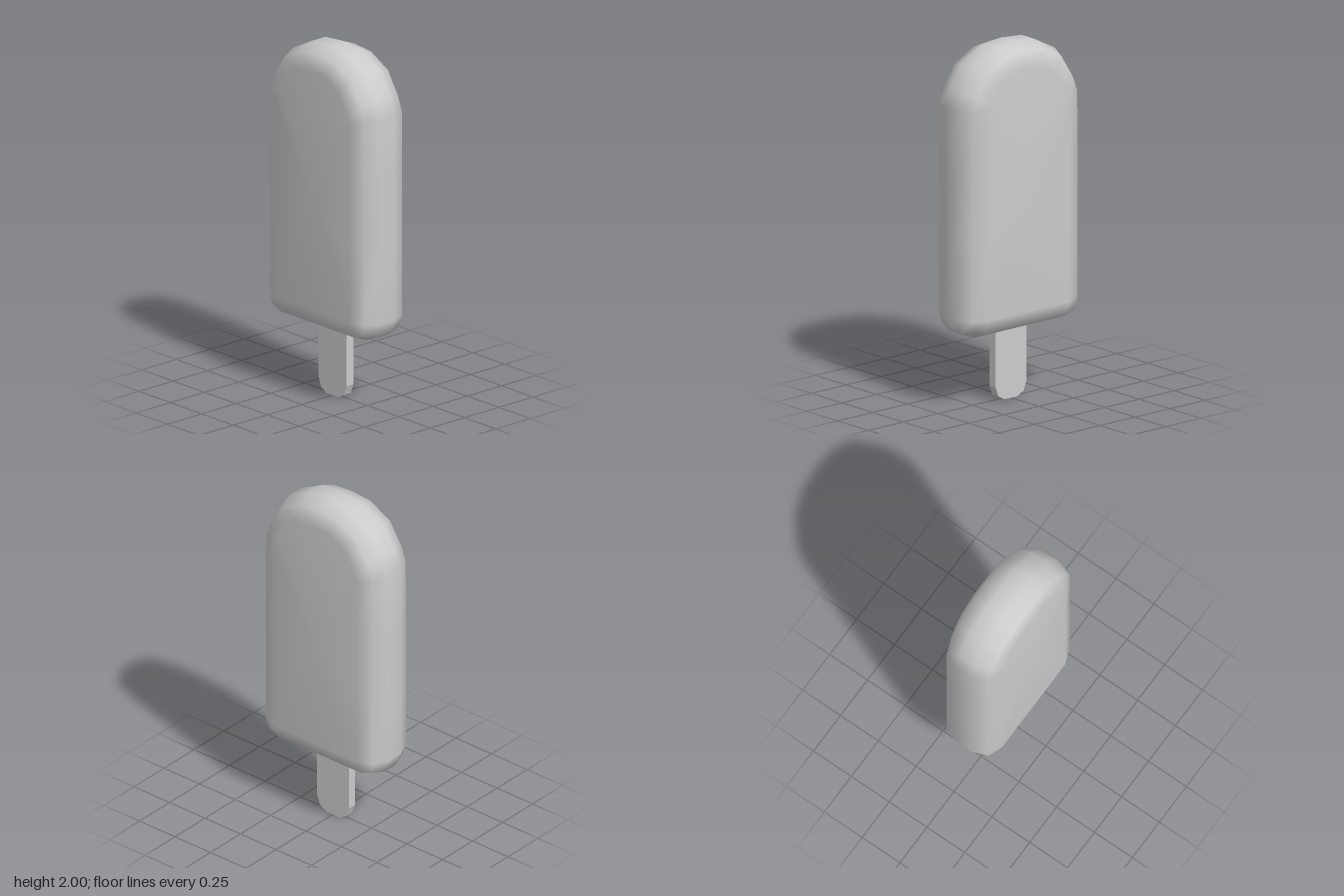
import * as THREE from 'three';
import { mergeVertices } from 'three/addons/utils/BufferGeometryUtils.js';

// Half outlines as [z, y], bottom to top: the outer rim and the flat face it rounds into
const rim = [[0.29, 0.395], [0.38, 0.43], [0.413, 0.515], [0.413, 0.95], [0.411, 1.35], [0.41, 1.68],
  [0.375, 1.775], [0.29, 1.91], [0.14, 1.988]];
const face = [[0.29, 0.515], [0.29, 0.515], [0.29, 0.515], [0.29, 0.95], [0.29, 1.35], [0.29, 1.65],
  [0.265, 1.715], [0.2, 1.815], [0.1, 1.868]];

// Mirror a half outline into a closed loop with a top centre point
const closeLoop = (half, top) => [...half, [0, top], ...half.map(([z, y]) => [-z, y]).reverse()];

function bodyGeometry() {
  const outer = closeLoop(rim, 2), inner = closeLoop(face, 1.876);
  const n = outer.length;
  // Each layer: x position and blend from face (0) to rim (1)
  const layers = [[-0.172, 0], [-0.137, 0.71], [-0.05, 1], [0.05, 1], [0.137, 0.71], [0.172, 0]];
  const pos = [], index = [];
  for (const [x, f] of layers) {
    for (let i = 0; i < n; i++) {
      pos.push(x,
        THREE.MathUtils.lerp(inner[i][1], outer[i][1], f),
        THREE.MathUtils.lerp(inner[i][0], outer[i][0], f));
    }
  }
  const last = layers.length - 1;
  const c0 = n * layers.length, c1 = c0 + 1;
  pos.push(-0.172, 1.15, 0, 0.172, 1.15, 0);
  for (let i = 0; i < n; i++) {
    const j = (i + 1) % n;
    for (let k = 0; k < last; k++) {
      const a = k * n + i, b = k * n + j, c = b + n, d = a + n;
      index.push(a, d, c, a, c, b);
    }
    index.push(c0, i, j, c1, last * n + j, last * n + i);
  }
  let g = new THREE.BufferGeometry();
  g.setAttribute('position', new THREE.Float32BufferAttribute(pos, 3));
  g.setIndex(index);
  g = mergeVertices(g, 1e-4);
  g.computeVertexNormals();
  return g;
}

function stickGeometry() {
  const half = [[0.045, 0], [0.09, 0.024], [0.112, 0.08], [0.112, 0.5]];
  const pts = [...half, ...half.map(([z, y]) => [-z, y]).reverse()];
  const shape = new THREE.Shape(pts.map(([z, y]) => new THREE.Vector2(z, y)));
  const g = new THREE.ExtrudeGeometry(shape, { depth: 0.05, bevelEnabled: false });
  g.translate(0, 0, -0.025);
  g.rotateY(Math.PI / 2);
  return g;
}

export function createModel() {
  const group = new THREE.Group();
  group.name = 'icePop';
  const material = new THREE.MeshStandardMaterial({ color: 0xcccccc });

  // Rounded frozen bar
  const body = new THREE.Mesh(bodyGeometry(), material);
  body.name = 'iceBar';

  // Flat stick with a rounded lower end
  const stick = new THREE.Mesh(stickGeometry(), material);
  stick.name = 'stick';

  group.add(body, stick);
  return group;
}
